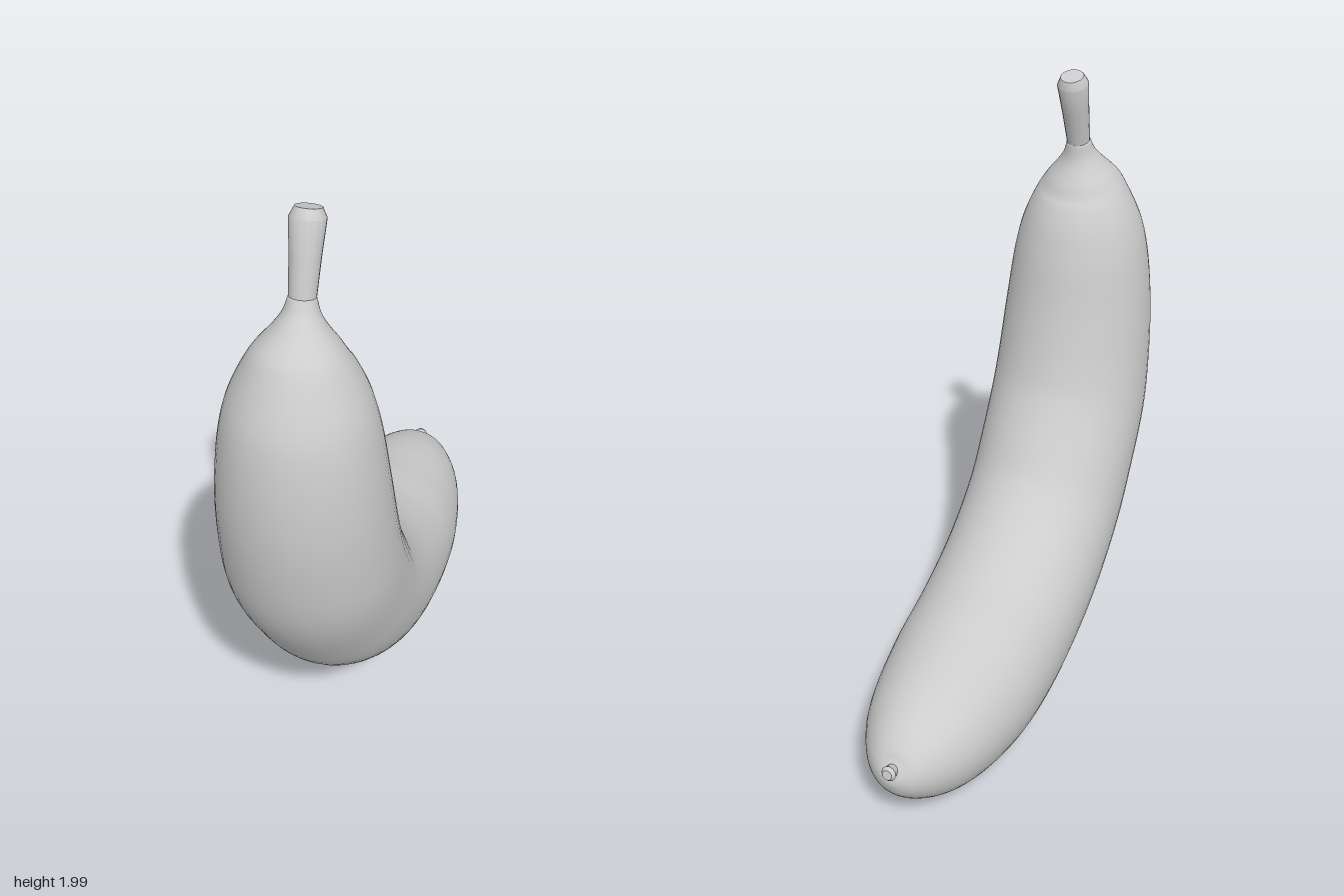
import * as THREE from 'three';
import { toCreasedNormals } from 'three/addons/utils/BufferGeometryUtils.js';

// Round loft along a planar path; each station is [across, height, radius].
function loft(stations, rings, sides) {
  const curve = new THREE.CatmullRomCurve3(stations.map(p => new THREE.Vector3(...p)));
  const pos = [], index = [];
  const at = i => (rings ? curve.getPoint(i / rings) : new THREE.Vector3(...stations[i]));
  const n = rings || stations.length - 1;
  for (let i = 0; i <= n; i++) {
    const c = at(i), a = at(Math.max(i - 1, 0)), b = at(Math.min(i + 1, n));
    const len = Math.hypot(b.x - a.x, b.y - a.y);
    const tx = (b.x - a.x) / len, ty = (b.y - a.y) / len;
    const r = Math.max(c.z, 0.002);
    for (let j = 0; j < sides; j++) {
      const t = (j / sides) * Math.PI * 2, u = r * Math.cos(t);
      pos.push(c.x - ty * u, c.y + tx * u, r * Math.sin(t));
    }
  }
  for (let i = 0; i < n; i++) {
    for (let j = 0; j < sides; j++) {
      const k = (j + 1) % sides;
      const a = i * sides + j, b = i * sides + k, c = a + sides, d = b + sides;
      index.push(a, b, c, b, d, c);
    }
  }
  // End caps
  for (let j = 1; j < sides - 1; j++) {
    const e = n * sides;
    index.push(0, j + 1, j, e, e + j, e + j + 1);
  }
  const g = new THREE.BufferGeometry();
  g.setAttribute('position', new THREE.Float32BufferAttribute(pos, 3));
  g.setIndex(index);
  g.computeVertexNormals();
  return g;
}

export function createModel() {
  const grey = new THREE.MeshStandardMaterial({ color: 0xcccccc });
  grey.name = 'plain grey';
  const model = new THREE.Group();
  model.name = 'banana';

  const add = (name, geometry) => {
    const mesh = new THREE.Mesh(geometry, grey);
    mesh.name = name;
    model.add(mesh);
  };

  // Curved fruit, from the neck under the stem down to the blossom end
  add('fruit', loft([
    [-0.528, 1.77, 0.037], [-0.538, 1.73, 0.05], [-0.547, 1.695, 0.073],
    [-0.557, 1.65, 0.111], [-0.567, 1.6, 0.145], [-0.574, 1.5, 0.191],
    [-0.577, 1.4, 0.217], [-0.566, 1.2, 0.243], [-0.53, 1.0, 0.257],
    [-0.488, 0.87, 0.263], [-0.394, 0.71, 0.264], [-0.28, 0.555, 0.264],
    [-0.088, 0.405, 0.264], [0.124, 0.31, 0.262], [0.3, 0.268, 0.257],
    [0.406, 0.252, 0.247], [0.547, 0.246, 0.222], [0.66, 0.25, 0.188],
    [0.74, 0.259, 0.148], [0.8, 0.27, 0.103], [0.833, 0.279, 0.06],
    [0.845, 0.284, 0.02], [0.847, 0.285, 0.002],
  ], 110, 48));

  // Flared stem with a bevelled cut end
  add('stem', toCreasedNormals(loft([
    [-0.535, 1.74, 0.036], [-0.526, 1.775, 0.037], [-0.498, 1.87, 0.042],
    [-0.47, 1.965, 0.049], [-0.462, 1.99, 0.036],
  ], 0, 16), 0.6));

  // Small nub at the blossom end
  add('tipNub', toCreasedNormals(loft([
    [0.815, 0.283, 0.018], [0.85, 0.291, 0.02], [0.862, 0.294, 0.024],
    [0.872, 0.296, 0.016],
  ], 0, 12), 0.7));

  // Turn the curve's plane onto the diagonal
  model.rotation.y = 1.01;
  model.position.set(0.0085, 0, 0.005);
  const root = new THREE.Group();
  root.name = 'bananaModel';
  root.add(model);
  return root;
}
